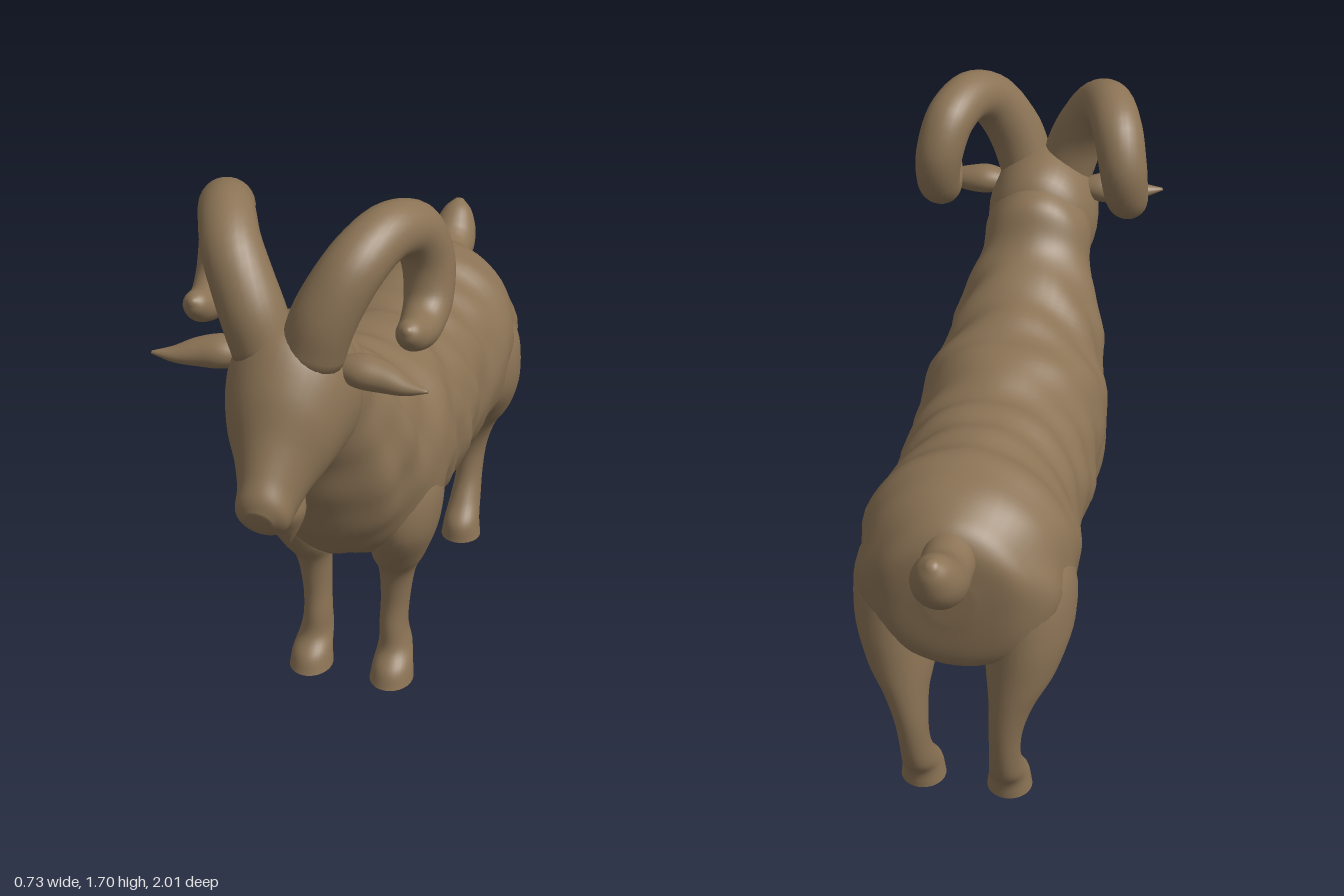
import * as THREE from 'three';

const V = (x, y, z) => new THREE.Vector3(x, y, z);

// Smooth closed skin through elliptical stations { c: centre, u, v: half axes }
function loft(stations, { steps = 5, sides = 28, bump = null, flatEnd = false } = {}) {
  const curve = key => new THREE.CatmullRomCurve3(stations.map(s => s[key]), false, 'catmullrom', 0.5);
  const [C, U, W] = [curve('c'), curve('u'), curve('v')];
  const rings = (stations.length - 1) * steps;
  const pos = [], index = [];
  const put = p => pos.push(p.x, p.y, p.z) / 3 - 1;
  for (let i = 0; i <= rings; i++) {
    const t = i / rings, c = C.getPoint(t), u = U.getPoint(t), v = W.getPoint(t);
    for (let j = 0; j < sides; j++) {
      const a = (j / sides) * Math.PI * 2;
      const d = u.clone().multiplyScalar(Math.cos(a)).addScaledVector(v, Math.sin(a));
      if (bump) d.setLength(d.length() + bump(c.clone().add(d)));
      put(d.add(c));
    }
  }
  for (let i = 0; i < rings; i++) for (let j = 0; j < sides; j++) {
    const k = (j + 1) % sides, a = i * sides + j, b = i * sides + k;
    index.push(a, b, b + sides, a, b + sides, a + sides);
  }
  // end caps; a flat end gets its own ring so the rim stays sharp
  const first = put(stations[0].c);
  const last = put(stations[stations.length - 1].c);
  let end = rings * sides;
  if (flatEnd) {
    const start = pos.length / 3;
    for (let j = 0; j < sides * 3; j++) pos.push(pos[end * 3 + j]);
    end = start;
  }
  for (let j = 0; j < sides; j++) {
    const k = (j + 1) % sides;
    index.push(first, k, j, last, end + j, end + k);
  }
  // turn the faces outward using the signed volume
  let volume = 0;
  const at = i => V(pos[i * 3], pos[i * 3 + 1], pos[i * 3 + 2]);
  for (let i = 0; i < index.length; i += 3)
    volume += at(index[i]).dot(at(index[i + 1]).cross(at(index[i + 2])));
  if (volume < 0) index.reverse();
  const g = new THREE.BufferGeometry();
  g.setAttribute('position', new THREE.Float32BufferAttribute(pos, 3));
  g.setIndex(index);
  g.computeVertexNormals();
  return g;
}

// Stations from side profile rows: [topZ, topY, bottomZ, bottomY, halfWidth]
const profile = rows => rows.map(([tz, ty, bz, by, w]) => ({
  c: V(0, (ty + by) / 2, (tz + bz) / 2), u: V(w, 0, 0), v: V(0, (ty - by) / 2, (tz - bz) / 2),
}));

// Stations for an upright limb: [y, x, z, radiusX, radiusZ]
const limb = (rows, side) => rows.map(([y, x, z, rx, rz]) => ({
  c: V(x * side, y, z), u: V(rx, 0, 0), v: V(0, 0, rz),
}));

// Stations along a tapering path: [x, y, z, radius]
function taper(rows, side, ref, a = 1, b = 1) {
  const pts = rows.map(r => V(r[0] * side, r[1], r[2]));
  return rows.map((r, i) => {
    const t = pts[Math.min(i + 1, pts.length - 1)].clone().sub(pts[Math.max(i - 1, 0)]).normalize();
    const u = t.clone().cross(ref).normalize();
    const v = t.clone().cross(u);
    return { c: pts[i], u: u.multiplyScalar(r[3] * a), v: v.multiplyScalar(r[3] * b) };
  });
}

// Uneven, shaggy coat
const coat = p => {
  const x = Math.abs(p.x);
  return 0.006 * Math.sin(19 * p.z + 8 * p.y - 9 * x) +
    0.006 * Math.sin(27 * p.y - 7 * p.z + 4 * x) * Math.sin(31 * p.z + 5 * p.y) +
    0.004 * Math.sin(47 * p.z - 12 * p.y);
};

const TORSO = [
  [-0.80, 0.86, -0.79, 0.72, 0.07], [-0.785, 0.98, -0.76, 0.57, 0.19], [-0.71, 1.03, -0.69, 0.50, 0.265],
  [-0.55, 1.08, -0.55, 0.44, 0.30], [-0.35, 1.055, -0.35, 0.42, 0.28], [-0.18, 1.05, -0.18, 0.415, 0.272],
  [0, 1.08, 0, 0.44, 0.277], [0.12, 1.105, 0.18, 0.45, 0.28], [0.24, 1.13, 0.38, 0.51, 0.26],
  [0.36, 1.18, 0.50, 0.64, 0.225], [0.44, 1.25, 0.585, 0.79, 0.195], [0.50, 1.32, 0.64, 0.95, 0.17],
  [0.60, 1.38, 0.69, 1.03, 0.14],
];
const HEAD = [
  [0.51, 1.28, 0.53, 1.12, 0.06], [0.57, 1.38, 0.58, 1.02, 0.14], [0.68, 1.42, 0.64, 0.99, 0.17],
  [0.79, 1.41, 0.70, 0.985, 0.165], [0.87, 1.31, 0.77, 0.975, 0.138], [0.92, 1.19, 0.82, 0.955, 0.10],
  [0.96, 1.11, 0.87, 0.925, 0.077], [0.99, 1.06, 0.93, 0.92, 0.068], [1.0, 1.02, 0.975, 0.96, 0.035],
];
const FRONT_LEG = [
  [0.82, 0.15, 0.22, 0.06, 0.08], [0.72, 0.165, 0.225, 0.105, 0.14], [0.58, 0.165, 0.235, 0.10, 0.14],
  [0.45, 0.14, 0.21, 0.08, 0.095], [0.37, 0.13, 0.187, 0.055, 0.06], [0.26, 0.123, 0.18, 0.044, 0.05],
  [0.17, 0.12, 0.185, 0.043, 0.054], [0.10, 0.125, 0.185, 0.05, 0.064], [0.05, 0.128, 0.22, 0.06, 0.073],
  [0, 0.128, 0.235, 0.066, 0.077],
];
const BACK_LEG = [
  [0.90, 0.15, -0.58, 0.06, 0.08], [0.78, 0.175, -0.58, 0.12, 0.16], [0.63, 0.185, -0.59, 0.122, 0.175],
  [0.50, 0.17, -0.645, 0.10, 0.125], [0.40, 0.15, -0.69, 0.065, 0.08], [0.30, 0.135, -0.705, 0.048, 0.058],
  [0.20, 0.13, -0.69, 0.044, 0.055], [0.12, 0.128, -0.655, 0.05, 0.064], [0.06, 0.128, -0.61, 0.058, 0.068],
  [0, 0.128, -0.60, 0.066, 0.068],
];
const HORN = [
  [0.06, 1.34, 0.735, 0.085], [0.10, 1.46, 0.73, 0.084], [0.16, 1.575, 0.68, 0.079], [0.21, 1.625, 0.58, 0.074],
  [0.25, 1.595, 0.475, 0.073], [0.275, 1.50, 0.43, 0.07], [0.285, 1.40, 0.455, 0.064],
  [0.285, 1.355, 0.525, 0.056], [0.285, 1.365, 0.595, 0.046], [0.285, 1.39, 0.64, 0.032], [0.285, 1.405, 0.66, 0.008],
];
const EAR = [
  [0.11, 1.30, 0.70, 0.03], [0.18, 1.30, 0.705, 0.054], [0.25, 1.293, 0.715, 0.046],
  [0.31, 1.287, 0.735, 0.026], [0.365, 1.29, 0.747, 0.005],
];
const BEARD = [
  [0, 1.02, 0.77, 0.04], [0, 0.95, 0.768, 0.045], [0, 0.90, 0.772, 0.05], [0, 0.85, 0.765, 0.034], [0, 0.79, 0.762, 0.004],
];
const TAIL = [
  [0, 0.93, -0.72, 0.075], [0, 0.925, -0.82, 0.072], [0, 0.94, -0.89, 0.075], [0, 0.98, -0.935, 0.068],
  [0, 1.03, -0.967, 0.045], [0, 1.06, -0.985, 0.012],
];

export function createModel() {
  const group = new THREE.Group();
  const hide = new THREE.MeshStandardMaterial({ color: 0x8b7355 });
  hide.name = 'brown hide';
  const add = (name, geometry) => {
    const mesh = new THREE.Mesh(geometry, hide);
    mesh.name = name;
    group.add(mesh);
  };
  const X = V(1, 0, 0), Z = V(0, 0, 1);

  // body, neck, head, beard and tail on the centre line
  add('torsoAndNeck', loft(profile(TORSO), { steps: 8, sides: 48, bump: coat }));
  add('head', loft(profile(HEAD), { steps: 6, sides: 36 }));
  add('beard', loft(taper(BEARD, 1, X)));
  add('tail', loft(taper(TAIL, 1, X)));

  // mirrored pairs
  for (const [label, side] of [['left', 1], ['right', -1]]) {
    add(label + 'FrontLeg', loft(limb(FRONT_LEG, side), { flatEnd: true }));
    add(label + 'BackLeg', loft(limb(BACK_LEG, side), { flatEnd: true }));
    add(label + 'Horn', loft(taper(HORN, side, X)));
    add(label + 'Ear', loft(taper(EAR, side, Z, 0.8, 0.95)));
  }
  return group;
}
